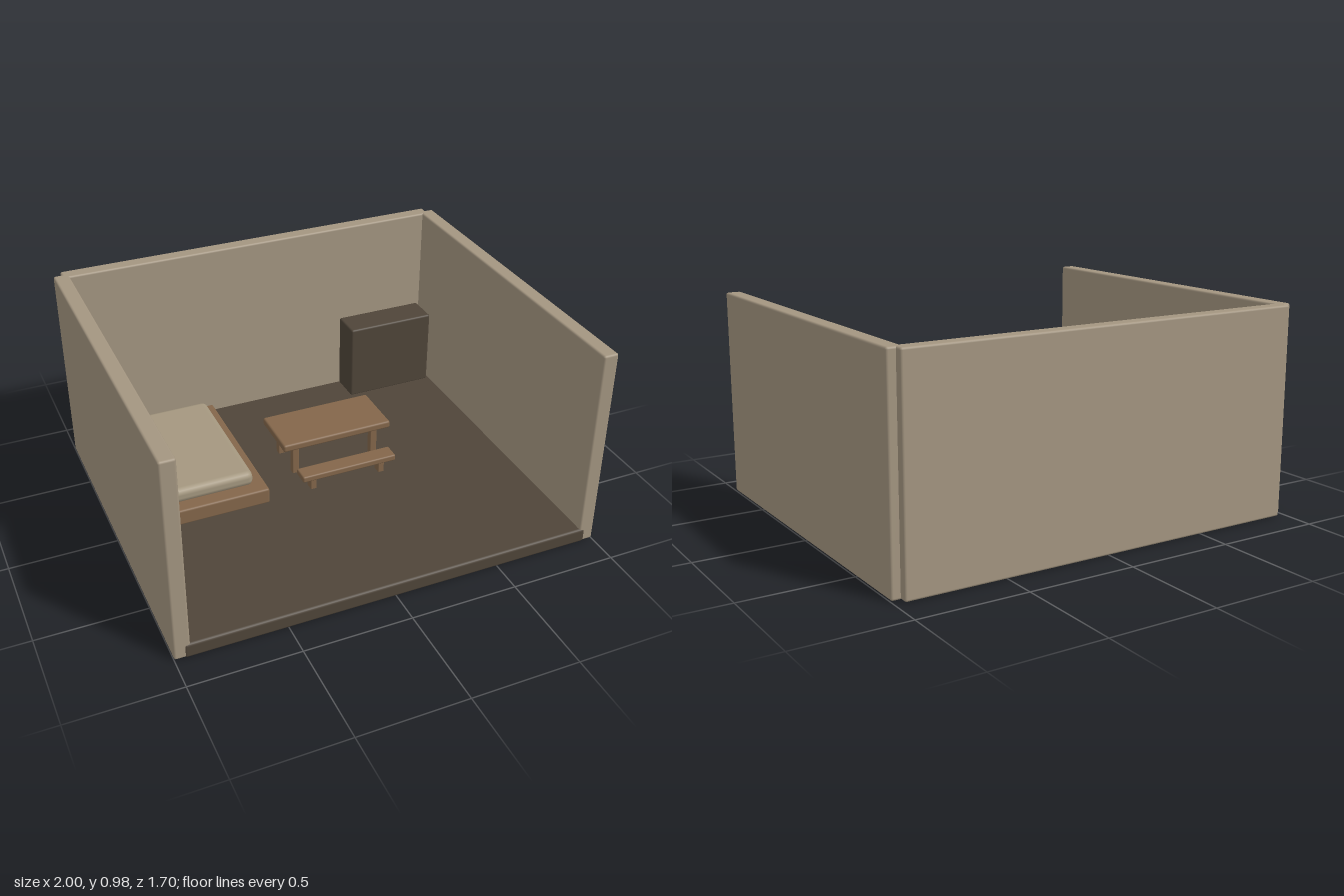
import * as THREE from 'three';
import { RoundedBoxGeometry } from 'three/addons/geometries/RoundedBoxGeometry.js';

const material = (name, color) => {
  const m = new THREE.MeshStandardMaterial({ color });
  m.name = name;
  return m;
};

// Soft-edged block given by its extents on each axis
function block(parent, name, mat, [x0, x1], [y0, y1], [z0, z1], radius = 0.008) {
  const geometry = new RoundedBoxGeometry(x1 - x0, y1 - y0, z1 - z0, 2, radius);
  const mesh = new THREE.Mesh(geometry, mat);
  mesh.position.set((x0 + x1) / 2, (y0 + y1) / 2, (z0 + z1) / 2);
  mesh.name = name;
  parent.add(mesh);
  return mesh;
}

function subgroup(parent, name) {
  const g = new THREE.Group();
  g.name = name;
  parent.add(g);
  return g;
}

export function createModel() {
  const model = new THREE.Group();
  model.name = 'room';
  const plaster = material('plaster', 0xa39580);
  const linen = material('linen', 0xa4977f);
  const wood = material('wood', 0x83664a);
  const darkWood = material('darkWood', 0x4f4539);

  // Floor slab, slightly proud of the walls at the front and underneath
  block(model, 'floor', darkWood, [-0.955, 0.955], [0, 0.07], [-0.81, 0.85], 0.012);

  // Three walls
  const walls = subgroup(model, 'walls');
  block(walls, 'backWall', plaster, [-0.96, 0.96], [0.003, 0.975], [-0.85, -0.78], 0.01);
  block(walls, 'rightWall', plaster, [-1, -0.928], [0.003, 0.975], [-0.813, 0.847], 0.01);
  block(walls, 'leftWall', plaster, [0.928, 1], [0.003, 0.975], [-0.813, 0.847], 0.01);

  // Bed: low frame and a rounded mattress
  const bed = subgroup(model, 'bed');
  block(bed, 'bedFrame', wood, [-0.845, -0.285], [0.065, 0.145], [-0.72, 0.09], 0.01);
  block(bed, 'mattress', linen, [-0.792, -0.34], [0.14, 0.215], [-0.663, 0.032], 0.03);

  // Table with four legs
  const table = subgroup(model, 'table');
  block(table, 'tableTop', wood, [-0.155, 0.405], [0.222, 0.26], [-0.328, -0.05], 0.01);
  for (const x of [-0.082, 0.332])
    for (const z of [-0.28, -0.098])
      block(table, 'tableLeg', wood, [x - 0.017, x + 0.017], [0.065, 0.23], [z - 0.017, z + 0.017], 0.004);

  // Bench in front of the table
  const bench = subgroup(model, 'bench');
  block(bench, 'benchSeat', wood, [-0.117, 0.367], [0.13, 0.162], [0.01, 0.095], 0.008);
  for (const x of [-0.055, 0.3])
    block(bench, 'benchLeg', wood, [x - 0.015, x + 0.015], [0.065, 0.138], [0.03, 0.075], 0.004);

  // Cabinet in the back corner
  block(model, 'cabinet', darkWood, [0.462, 0.918], [0.065, 0.46], [-0.785, -0.625], 0.01);

  return model;
}
